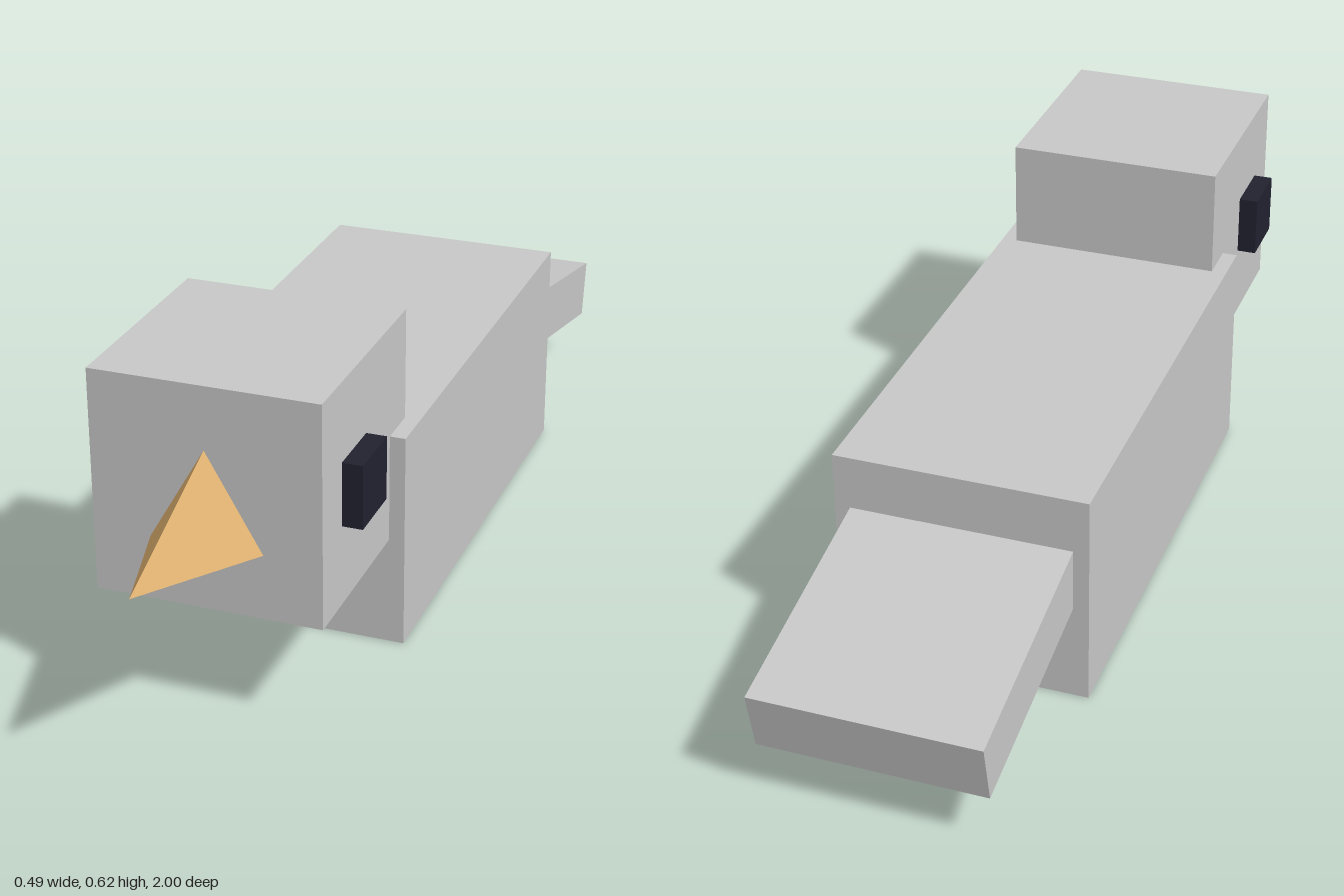
import * as THREE from 'three';

export function createModel() {
  const model = new THREE.Group();
  model.name = 'bird';
  const material = (name, color) => {
    const m = new THREE.MeshStandardMaterial({ color });
    m.name = name;
    return m;
  };
  const grey = material('grey feathers', 0xc8c8c8);
  const dark = material('dark eye', 0x222230);
  const tan = material('tan beak', 0xdfb070);

  const add = (name, geometry, mat, x, y, z) => {
    const mesh = new THREE.Mesh(geometry, mat);
    mesh.name = name;
    mesh.position.set(x, y, z);
    model.add(mesh);
    return mesh;
  };
  const box = (name, mat, size, at) => add(name, new THREE.BoxGeometry(...size), mat, ...at);

  box('body', grey, [0.47, 0.412, 0.94], [0, 0.206, -0.094]);
  box('head', grey, [0.412, 0.412, 0.412], [0, 0.414, 0.5]);

  // Tail slopes down towards the back, its root inside the body
  box('tail', grey, [0.412, 0.118, 0.47], [0, 0.209, -0.758]).rotation.x = -0.2;

  // Square eyes standing out from the sides of the head
  for (const [name, side] of [['leftEye', 1], ['rightEye', -1]]) {
    box(name, dark, [0.06, 0.118, 0.118], [side * 0.213, 0.416, 0.557]);
  }

  // Three-sided beak, one edge up, pointing forward
  const beak = new THREE.ConeGeometry(0.118, 0.296, 3).toNonIndexed();
  beak.rotateY(Math.PI).rotateX(Math.PI / 2);
  beak.computeVertexNormals();
  add('beak', beak, tan, 0, 0.387, 0.852);

  return model;
}
